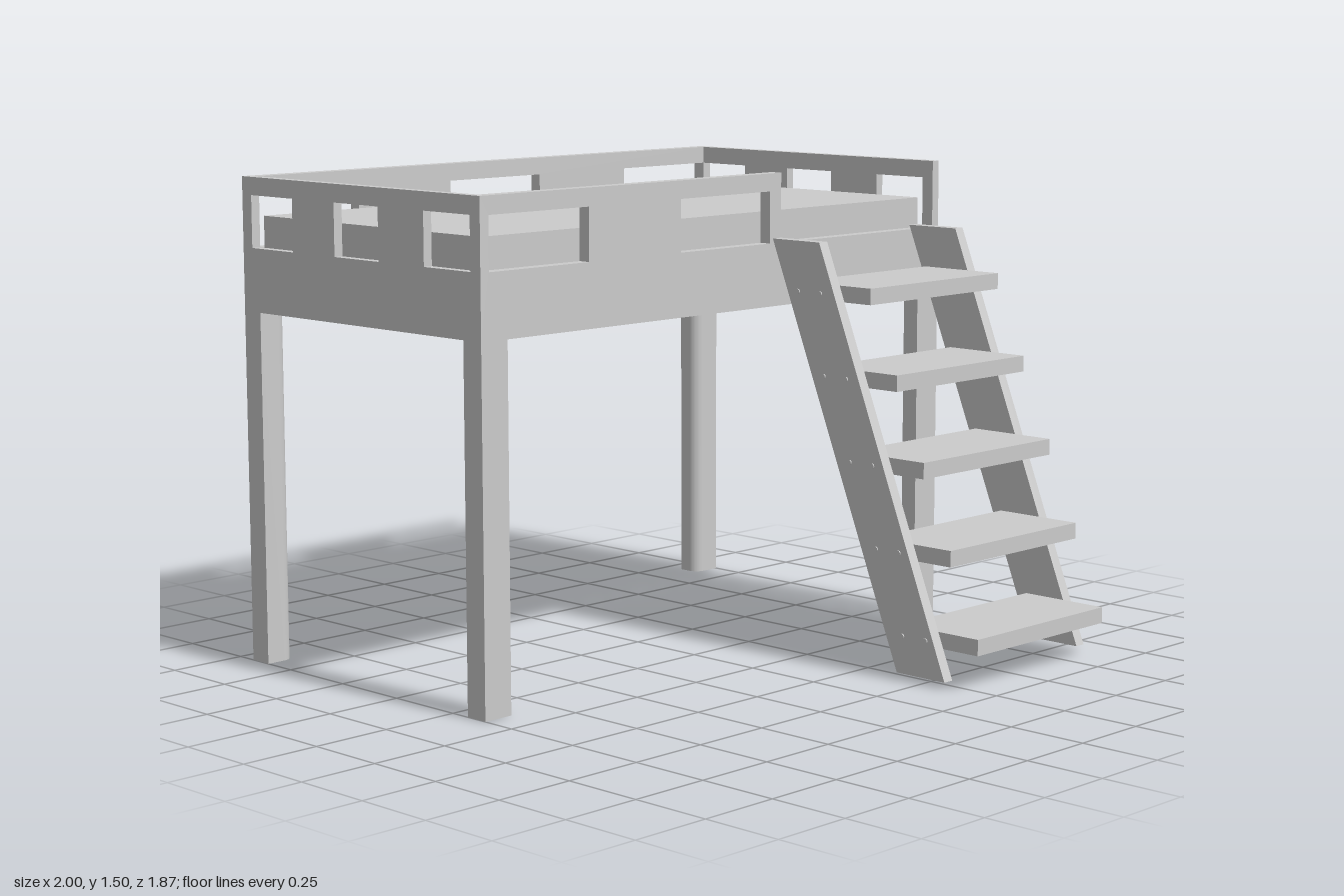
import * as THREE from 'three';

const material = new THREE.MeshStandardMaterial({ color: 0xcccccc });

function add(parent, geometry, name) {
  const mesh = new THREE.Mesh(geometry, material);
  mesh.name = name;
  parent.add(mesh);
  return mesh;
}

// Box given by its minimum and maximum corners
function block(parent, name, [x0, y0, z0], [x1, y1, z1]) {
  const mesh = add(parent, new THREE.BoxGeometry(x1 - x0, y1 - y0, z1 - z0), name);
  mesh.position.set((x0 + x1) / 2, (y0 + y1) / 2, (z0 + z1) / 2);
  return mesh;
}

function polygon(points) {
  return new THREE.Shape(points.map(([x, y]) => new THREE.Vector2(x, y)));
}

// Extruded panel with window openings, each [start, end] along its length
function panel(outline, windows, depth) {
  const shape = polygon(outline);
  for (const [a, b] of windows) {
    shape.holes.push(polygon([[a, 1.285], [a, 1.445], [b, 1.445], [b, 1.285]]));
  }
  return new THREE.ExtrudeGeometry(shape, { depth, bevelEnabled: false });
}

export function createModel() {
  const bed = new THREE.Group();
  bed.name = 'loftBed';

  const back = -0.935, front = 0.14, low = 1.09, high = 1.5, long = 0.04, end = 0.03;

  // Long walls; the front one is cut down where the ladder arrives
  const longWindows = [[-0.968, -0.58], [-0.2, 0.19], [0.58, 0.968]];
  const backWall = add(bed, panel([[-1, low], [1, low], [1, high], [-1, high]], longWindows, long), 'backWall');
  backWall.position.z = back;
  const frontOutline = [[-1, low], [1, low], [1, high], [0.97, high], [0.97, 1.285],
    [0.24, 1.285], [0.24, high], [-1, high]];
  const frontWall = add(bed, panel(frontOutline, longWindows.slice(0, 2), long), 'frontWall');
  frontWall.position.z = front - long;

  // End walls, drawn along -z and turned to face sideways
  const z0 = -front + long, z1 = -back - long;
  const endWindows = [[z0 + 0.003, 0.1 + 0.003], [0.3, 0.5], [0.695, z1 - 0.003]];
  endWindows[0] = [-0.098, 0.1];
  for (const side of [-1, 1]) {
    const wall = add(bed, panel([[z0, low], [z1, low], [z1, high], [z0, high]], endWindows, end),
      side < 0 ? 'rightEndWall' : 'leftEndWall');
    wall.rotation.y = Math.PI / 2;
    wall.position.x = side < 0 ? -1 : 1 - end;
  }

  // Base board and mattress
  block(bed, 'baseBoard', [-0.97, low, back + long], [0.97, low + 0.03, front - long]);
  block(bed, 'mattress', [-0.955, low + 0.03, -0.89], [0.955, 1.38, 0.09]);

  // Legs: square outside corner, rounded inside corner
  const w = 0.1, d = 0.075, r = 0.035;
  for (const sx of [-1, 1]) {
    for (const sz of [-1, 1]) {
      const cx = sx * (1 - w / 2), cz = sz > 0 ? front - d / 2 : back + d / 2;
      const leg = new THREE.Shape();
      leg.moveTo(-w / 2, -d / 2);
      leg.lineTo(w / 2, -d / 2);
      leg.lineTo(w / 2, d / 2 - r);
      leg.absarc(w / 2 - r, d / 2 - r, r, 0, Math.PI / 2, false);
      leg.lineTo(-w / 2, d / 2);
      leg.closePath();
      // Mirror the section in 2D so that the extrusion keeps its winding
      const points = leg.getPoints(6).map((p) => [-sx * p.x, sz * p.y]);
      const geometry = new THREE.ExtrudeGeometry(polygon(points), { depth: low, bevelEnabled: false });
      geometry.rotateX(-Math.PI / 2);
      const mesh = add(bed, geometry, `${sz > 0 ? 'front' : 'back'}${sx > 0 ? 'Left' : 'Right'}Leg`);
      mesh.position.set(cx, 0, cz);
    }
  }

  // Ladder
  const ladder = new THREE.Group();
  ladder.name = 'ladder';
  bed.add(ladder);
  const railOutline = [[-0.84, 0.02], [-0.655, 0.02], [-0.14, 1.3], [-0.33, 1.3]];
  for (const [x, name] of [[0.203, 'rightRail'], [0.855, 'leftRail']]) {
    const rail = add(ladder, panel(railOutline, [], 0.037), name);
    rail.rotation.y = Math.PI / 2;
    rail.position.x = x;
  }

  // Treads with screw heads on the outside of both rails
  for (let i = 0; i < 5; i++) {
    const y = 0.11 + i * 0.2525, z = 0.935 - i * 0.1075;
    block(ladder, `tread${i + 1}`, [0.24, y, z - 0.295], [0.855, y + 0.05, z]);
    for (const x of [0.203, 0.892]) {
      for (const back of [0.17, 0.26]) {
        const screw = add(ladder, new THREE.CylinderGeometry(0.008, 0.008, 0.008, 12), 'screwHead');
        screw.rotation.z = Math.PI / 2;
        screw.position.set(x, y + 0.025, z - back);
      }
    }
  }
  return bed;
}
